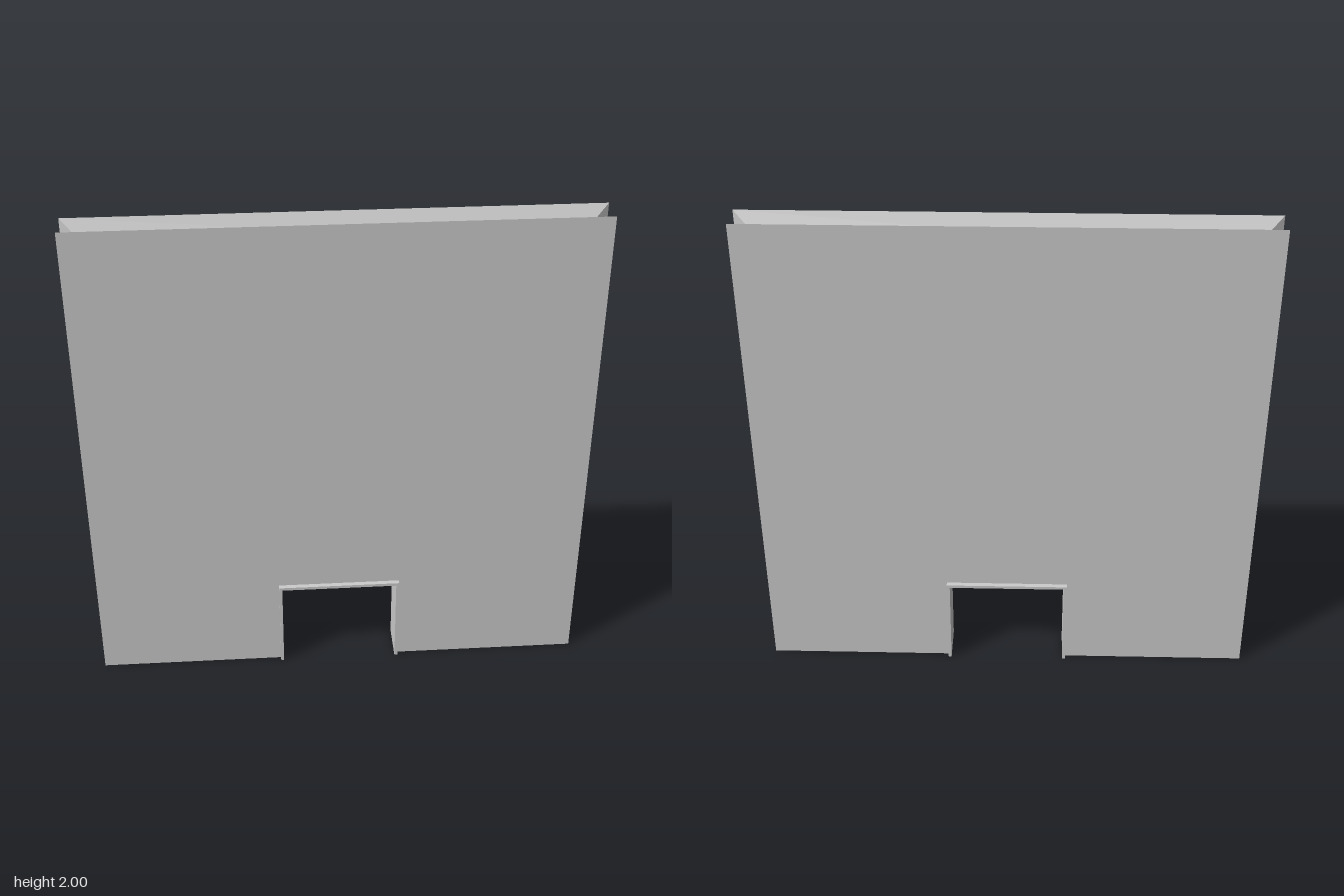
import * as THREE from 'three';

const HALF_DEPTH = 0.0625, GROOVE = 0.125;   // wall half thickness, groove depth
const FRAME_DEPTH = 0.164, TRIM = 0.0125;    // door frame depth and thickness
const DOOR_X = 0.25, DOOR_Y = 0.39;          // opening cut in the wall

const material = new THREE.MeshStandardMaterial({ color: 0xcccccc, flatShading: true });

function polygon(points) {
  return new THREE.Shape(points.map(([x, y]) => new THREE.Vector2(x, y)));
}

function extrude(name, points, depth, steps) {
  const geometry = new THREE.ExtrudeGeometry(polygon(points), { depth, steps, bevelEnabled: false });
  geometry.translate(0, 0, -depth / 2);
  const mesh = new THREE.Mesh(geometry, material);
  mesh.name = name;
  return mesh;
}

export function createModel() {
  const model = new THREE.Group();
  model.name = 'wallPanelWithDoorway';

  // Wall panel with a doorway notch in its lower edge
  const wall = extrude('wallPanel', [
    [-1, 0], [-DOOR_X, 0], [-DOOR_X, DOOR_Y], [DOOR_X, DOOR_Y],
    [DOOR_X, 0], [1, 0], [1, 2], [-1, 2],
  ], HALF_DEPTH * 2, 2);

  // Pull the middle section inwards to form the V groove around the outer edges
  const pos = wall.geometry.attributes.position;
  const clamp = THREE.MathUtils.clamp;
  for (let i = 0; i < pos.count; i++) {
    if (Math.abs(pos.getZ(i)) > 1e-4) continue;
    pos.setX(i, clamp(pos.getX(i), -1 + GROOVE, 1 - GROOVE));
    pos.setY(i, clamp(pos.getY(i), GROOVE, 2 - GROOVE));
  }
  wall.geometry.computeVertexNormals();

  // Thin door frame lining the notch, standing slightly proud of both faces
  const inX = DOOR_X - TRIM, inY = DOOR_Y - TRIM;
  const frame = extrude('doorFrame', [
    [-DOOR_X, 0], [-inX, 0], [-inX, inY], [inX, inY],
    [inX, 0], [DOOR_X, 0], [DOOR_X, DOOR_Y], [-DOOR_X, DOOR_Y],
  ], FRAME_DEPTH, 1);

  model.add(wall, frame);
  return model;
}
